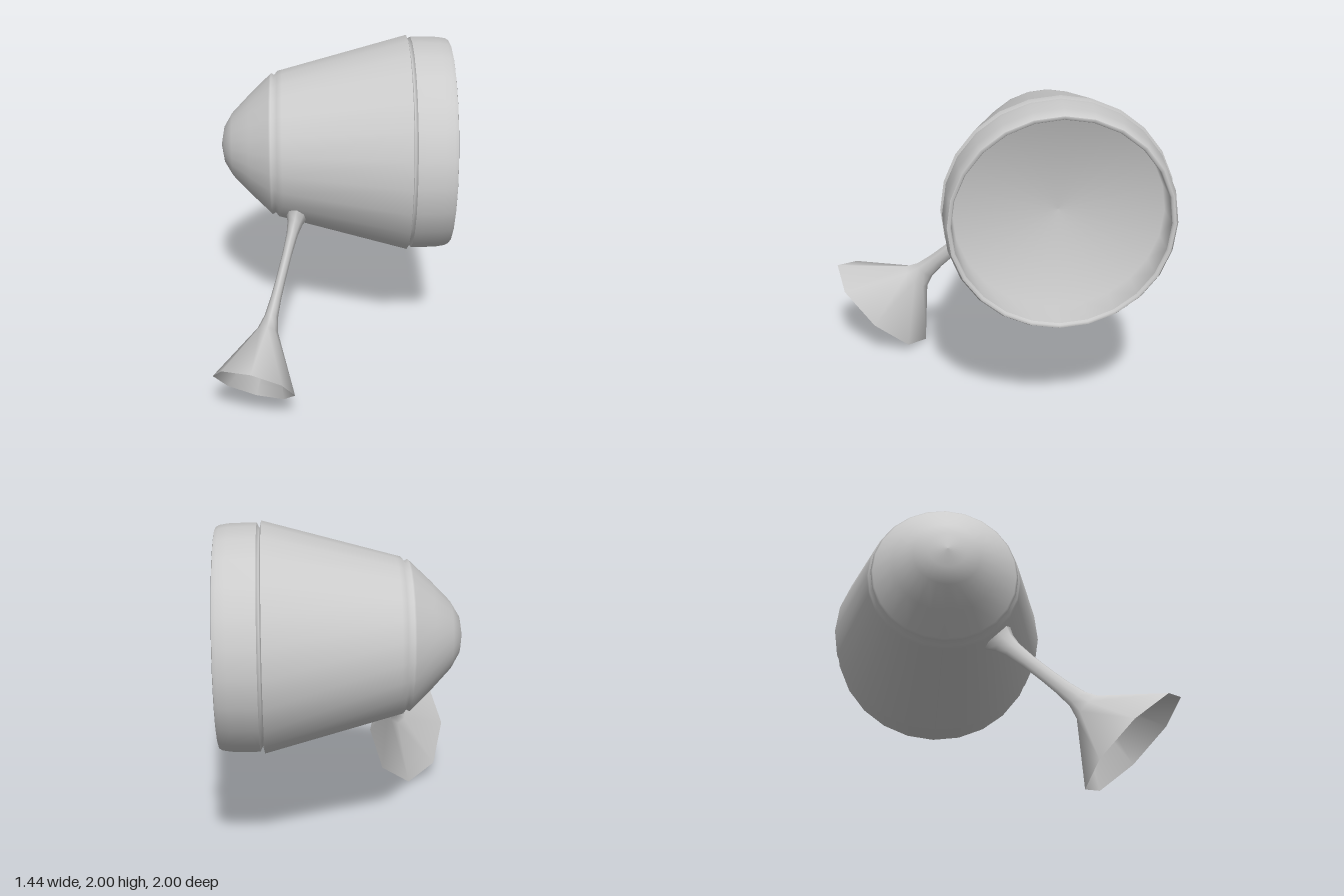
import * as THREE from 'three';

const material = new THREE.MeshStandardMaterial({ color: 0xcccccc });
const openMaterial = new THREE.MeshStandardMaterial({ color: 0xcccccc, side: THREE.DoubleSide });

// Revolve [radius, height] pairs around the local y axis
function lathe(name, profile, segments, mat = material) {
  const points = profile.map(([r, h]) => new THREE.Vector2(r, h));
  const mesh = new THREE.Mesh(new THREE.LatheGeometry(points, segments), mat);
  mesh.name = name;
  return mesh;
}

export function createModel() {
  const model = new THREE.Group();
  model.name = 'spotlight';

  // Lamp housing, lying along x with its opening towards +x
  const housing = new THREE.Group();
  housing.name = 'housing';
  housing.rotation.z = -Math.PI / 2;
  housing.position.set(0, 1.34, -0.335);
  model.add(housing);

  housing.add(
    lathe('noseAndShell', [
      [0, -0.68], [0.11, -0.66], [0.195, -0.61], [0.31, -0.5], [0.425, -0.38], [0.437, -0.368],
      [0.425, -0.35], [0.45, -0.33], [0.458, -0.3], [0.662, 0.455]
    ], 24),
    lathe('frontGroove', [[0.662, 0.455], [0.62, 0.465], [0.65, 0.48]], 24),
    lathe('collar', [[0.65, 0.48], [0.652, 0.52], [0.648, 0.64], [0.64, 0.69], [0.628, 0.712]], 24),
    lathe('rim', [[0.628, 0.712], [0.612, 0.715], [0.605, 0.7]], 24),
    lathe('reflector', [[0.605, 0.7], [0.595, 0.51], [0, 0.47]], 24)
  );

  // Stem flaring from the shell into a hollow foot, oval in section
  const stem = lathe('stemAndFoot', [
    [0.14, 0.01], [0.105, 0.05], [0.075, 0.1], [0.056, 0.17], [0.047, 0.3], [0.047, 0.45],
    [0.052, 0.58], [0.065, 0.69], [0.1, 0.775], [0.4, 1.113]
  ], 8, openMaterial);

  // Stem frame: leaning back along x, and down and forward at 45 degrees
  const axis = new THREE.Vector3(-0.252, -Math.SQRT1_2, Math.SQRT1_2).normalize();
  const wide = new THREE.Vector3(0, Math.SQRT1_2, Math.SQRT1_2);
  const narrow = new THREE.Vector3().crossVectors(axis, wide);
  const frame = new THREE.Matrix4().makeBasis(narrow, axis, wide).setPosition(-0.208, 1.043, -0.038);
  stem.geometry.scale(0.62, 1, 1).applyMatrix4(frame);
  model.add(stem);

  return model;
}
